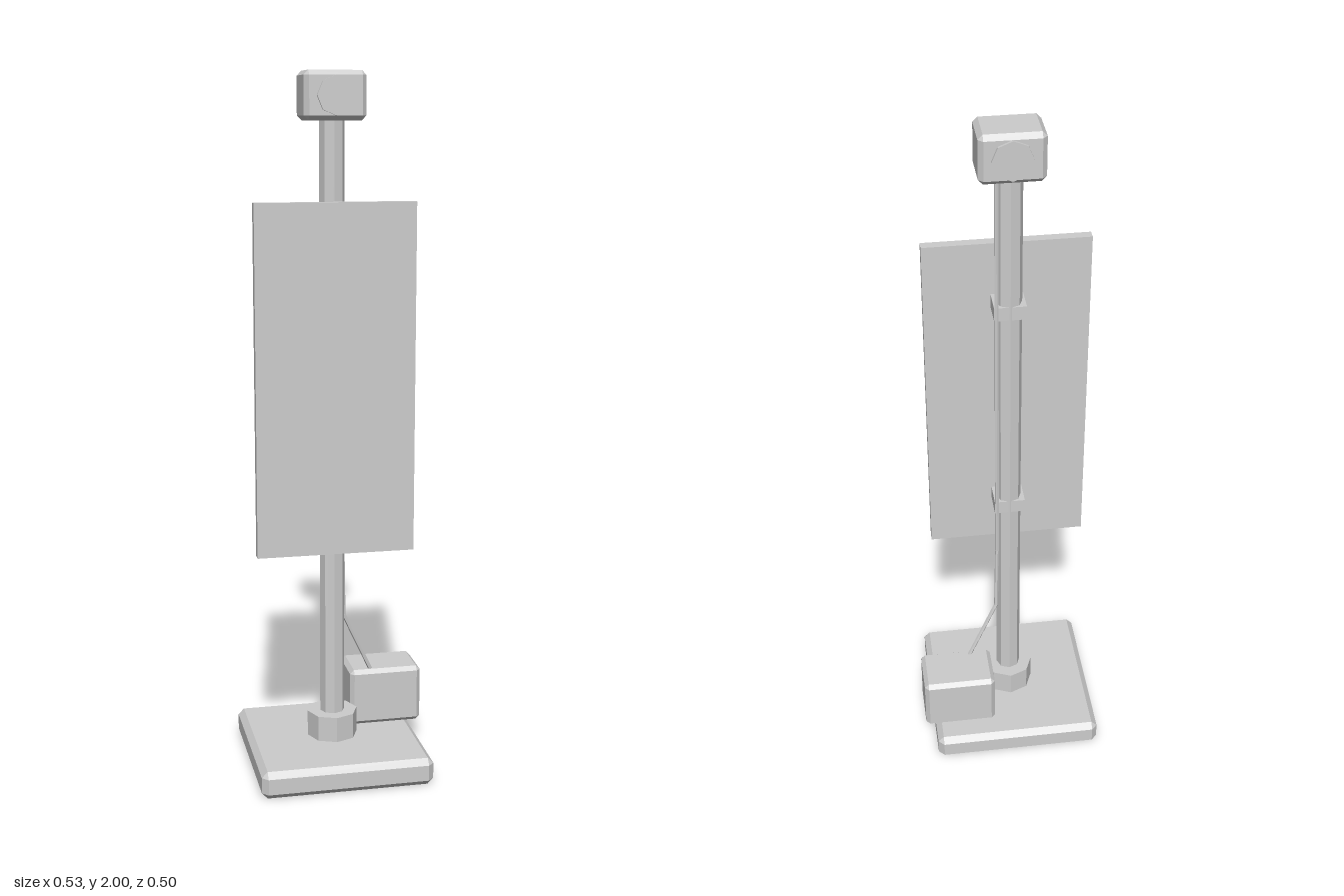
import * as THREE from 'three';
import { ConvexGeometry } from 'three/addons/geometries/ConvexGeometry.js';

const grey = new THREE.MeshStandardMaterial({ color: 0xcccccc });
grey.name = 'light grey';
const CX = -0.016; // axis of the pole
const CZ = -0.001;

// Box with all edges cut at 45 degrees
function chamferBox(w, h, d, c) {
  const points = [];
  for (const x of [-1, 1]) for (const y of [-1, 1]) for (const z of [-1, 1]) {
    for (let axis = 0; axis < 3; axis++) {
      const inset = [c, c, c];
      inset[axis] = 0;
      points.push(new THREE.Vector3(
        x * (w / 2 - inset[0]), y * (h / 2 - inset[1]), z * (d / 2 - inset[2])));
    }
  }
  return new ConvexGeometry(points);
}

// Faceted cylinder, flat normals stored in the geometry
function prism(radius, height, sides) {
  const g = new THREE.CylinderGeometry(radius, radius, height, sides).toNonIndexed();
  g.computeVertexNormals();
  return g;
}

export function createModel() {
  const model = new THREE.Group();
  model.name = 'polePanelUnit';

  const add = (name, geometry, x, y, z) => {
    const mesh = new THREE.Mesh(geometry, grey);
    mesh.name = name;
    mesh.position.set(x, y, z);
    model.add(mesh);
    return mesh;
  };

  // Foot and pole
  add('base', chamferBox(0.498, 0.08, 0.498, 0.017), CX, 0.04, CZ);
  add('collar', prism(0.074, 0.085, 8), CX, 0.1125, CZ);
  add('pole', prism(0.036, 1.84, 8), CX, 0.98, CZ);

  // Head with a round disc on front and back
  add('head', chamferBox(0.173, 0.133, 0.13, 0.013), CX - 0.001, 1.9335, CZ);
  for (const side of [1, -1]) {
    const disc = add(side > 0 ? 'frontDisc' : 'backDisc',
      prism(0.054, 0.016, 8), CX, 1.9335, CZ + side * 0.0645);
    disc.rotation.x = Math.PI / 2;
  }

  // Panel held by two clamps
  add('panel', new THREE.BoxGeometry(0.455, 0.996, 0.027), CX - 0.001, 1.151, 0.0525);
  for (const y of [0.816, 1.475]) {
    add('clamp', new THREE.BoxGeometry(0.088, 0.04, 0.1), CX, y, 0.0145);
  }

  // Equipment box beside the pole
  add('equipmentBox', chamferBox(0.216, 0.172, 0.15, 0.012), 0.156, 0.167, -0.109);

  // Cable from head to equipment box, in straight runs
  const path = [
    [0.021, 1.89, -0.034], [0.022, 0.65, -0.034],
    [0.026, 0.435, -0.037], [0.115, 0.245, -0.056],
  ].map((p) => new THREE.Vector3(...p));
  for (let i = 0; i < path.length - 1; i++) {
    const run = path[i + 1].clone().sub(path[i]);
    const mid = path[i].clone().add(path[i + 1]).multiplyScalar(0.5);
    const cable = add('cable', prism(0.006, run.length() + 0.003, 6), mid.x, mid.y, mid.z);
    cable.quaternion.setFromUnitVectors(new THREE.Vector3(0, 1, 0), run.normalize());
  }

  return model;
}
